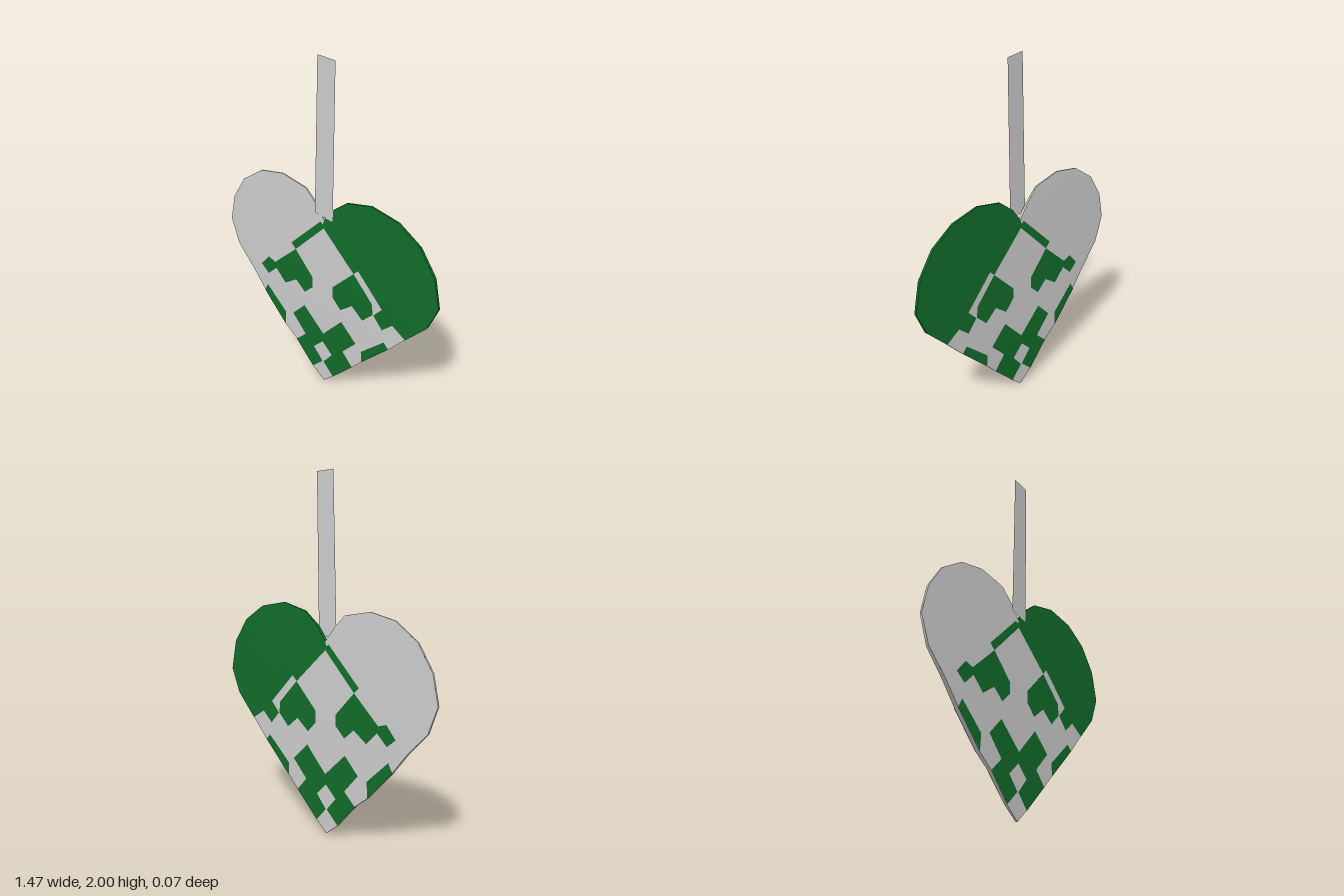
import * as THREE from 'three';
import { mergeVertices } from 'three/addons/utils/BufferGeometryUtils.js';

const grey = new THREE.MeshStandardMaterial({ color: 0xcccccc, side: THREE.DoubleSide });
const green = new THREE.MeshStandardMaterial({ color: 0x126b2a, side: THREE.DoubleSide });

// The thin basket lies on a slightly turned plane and swells gently in the middle
const midZ = (x) => 0.04 * x + 0.002;
const halfDepth = (x, y) =>
  0.003 + 0.011 * Math.max(0, 1 - ((y - 0.6) / 0.68) ** 2) * Math.max(0, 1 - (x / 0.8) ** 4);

const vectors = (points) => points.map(([x, y]) => new THREE.Vector2(x, y));

function geometryFrom(positions) {
  const g = new THREE.BufferGeometry();
  g.setAttribute('position', new THREE.Float32BufferAttribute(positions, 3));
  const merged = mergeVertices(g, 1e-5);
  merged.computeVertexNormals();
  return merged;
}

// One sheet cut to an outline, subdivided and curved; side is +1 front, -1 back
function sheet(points, side, lift) {
  const pts = vectors(points);
  const out = [];
  const put = (p) => out.push(p.x, p.y, midZ(p.x) + side * (halfDepth(p.x, p.y) + lift));
  const split = (a, b, c, level) => {
    if (level === 0) { put(a); put(b); put(c); return; }
    const ab = a.clone().lerp(b, 0.5), bc = b.clone().lerp(c, 0.5), ca = c.clone().lerp(a, 0.5);
    split(a, ab, ca, level - 1);
    split(ab, b, bc, level - 1);
    split(ca, bc, c, level - 1);
    split(ab, bc, ca, level - 1);
  };
  for (const f of THREE.ShapeUtils.triangulateShape(pts, [])) {
    const [a, b, c] = f.map((i) => pts[i]);
    const ccw = b.clone().sub(a).cross(c.clone().sub(a)) > 0;
    if (ccw === side > 0) split(a, b, c, 4);
    else split(a, c, b, 4);
  }
  return geometryFrom(out);
}

// Narrow wall closing the edge between the two sheets
function rim(points, lift) {
  const out = [];
  for (let i = 0; i < points.length - 1; i++) {
    const corner = ([x, y], s) => [x, y, midZ(x) + s * (halfDepth(x, y) + lift)];
    const a = corner(points[i], 1), b = corner(points[i + 1], 1);
    const c = corner(points[i + 1], -1), d = corner(points[i], -1);
    out.push(...a, ...d, ...c, ...a, ...c, ...b);
  }
  return geometryFrom(out);
}

// Edge of the green lobe, from the lower weave up to the notch
const rightLobe = [
  [0.55, 0.58], [0.675, 0.71], [0.735, 0.85], [0.7, 1.02], [0.605, 1.16],
  [0.47, 1.25], [0.3, 1.285], [0.14, 1.25], [0.05, 1.18], [-0.01, 1.1],
];
// Edge of the grey lobe and down to the bottom tip
const leftLobe = [
  [-0.01, 1.1], [-0.07, 1.18], [-0.14, 1.25], [-0.31, 1.285], [-0.47, 1.255], [-0.61, 1.16],
  [-0.7, 1.02], [-0.735, 0.86], [-0.68, 0.71], [-0.56, 0.58], [-0.47, 0.465], [-0.31, 0.287],
  [-0.22, 0.215], [-0.1, 0.075], [-0.015, 0.005],
];
const lowerRight = [[-0.015, 0.005], [0.055, 0.07], [0.2, 0.217], [0.265, 0.287], [0.45, 0.47], [0.55, 0.58]];
const heart = [...rightLobe, ...leftLobe.slice(1), ...lowerRight.slice(1, -1)];

// Green strips showing through the weave
const patches = {
  greenLobe: [
    ...rightLobe, [-0.02, 1.06], [0.2, 0.85], [0.23, 0.88], [0.395, 0.705], [0.34, 0.645],
    [0.4, 0.575], [0.465, 0.635],
  ],
  upperStrip: [[-0.035, 1.085], [0, 1.063], [-0.215, 0.847], [-0.247, 0.878]],
  leftWeave: [
    [-0.215, 0.847], [-0.09, 0.71], [-0.09, 0.645], [-0.15, 0.587], [-0.215, 0.645], [-0.3, 0.587],
    [-0.37, 0.66], [-0.435, 0.598], [-0.49, 0.645], [-0.43, 0.715], [-0.378, 0.698],
  ],
  rightWeave: [
    [0.2, 0.85], [0.33, 0.71], [0.335, 0.645], [0.267, 0.577], [0.193, 0.64],
    [0.113, 0.577], [0.055, 0.64], [0.055, 0.704],
  ],
  leftEdgeStrip: [[-0.446, 0.515], [-0.305, 0.38], [-0.31, 0.288], [-0.472, 0.466]],
  rightEdgeStrip: [[0.415, 0.5], [0.445, 0.467], [0.266, 0.288], [0.262, 0.36]],
  lowerWeave: [
    [-0.155, 0.492], [-0.013, 0.355], [0.12, 0.5], [0.224, 0.397], [0.13, 0.296], [0.198, 0.217],
    [0.055, 0.07], [-0.014, 0.15], [0.05, 0.228], [-0.018, 0.296], [-0.087, 0.228], [-0.022, 0.15],
    [-0.098, 0.075], [-0.223, 0.217], [-0.15, 0.288], [-0.245, 0.397],
  ],
};

export function createModel() {
  const model = new THREE.Group();
  const add = (name, geometry, material) => {
    const mesh = new THREE.Mesh(geometry, material);
    mesh.name = name;
    model.add(mesh);
  };

  // Front and back sheets with their woven pattern
  for (const [label, side] of [['Front', 1], ['Back', -1]]) {
    add('heart' + label, sheet(heart, side, 0), grey);
    for (const [name, points] of Object.entries(patches)) add(name + label, sheet(points, side, 0.0015), green);
  }

  // Edges of the basket
  add('greyRim', rim([...leftLobe, ...lowerRight.slice(1)], 0), grey);
  add('greenRim', rim(rightLobe, 0.0015), green);

  // Flat paper strap rising from the notch
  const strap = new THREE.ShapeGeometry(new THREE.Shape(vectors([
    [-0.07, 1.13], [-0.01, 1.12], [0.05, 1.11], [0.063, 1.99], [-0.047, 2],
  ])));
  strap.translate(0, 0, 0.013);
  add('handle', strap, grey);

  return model;
}
